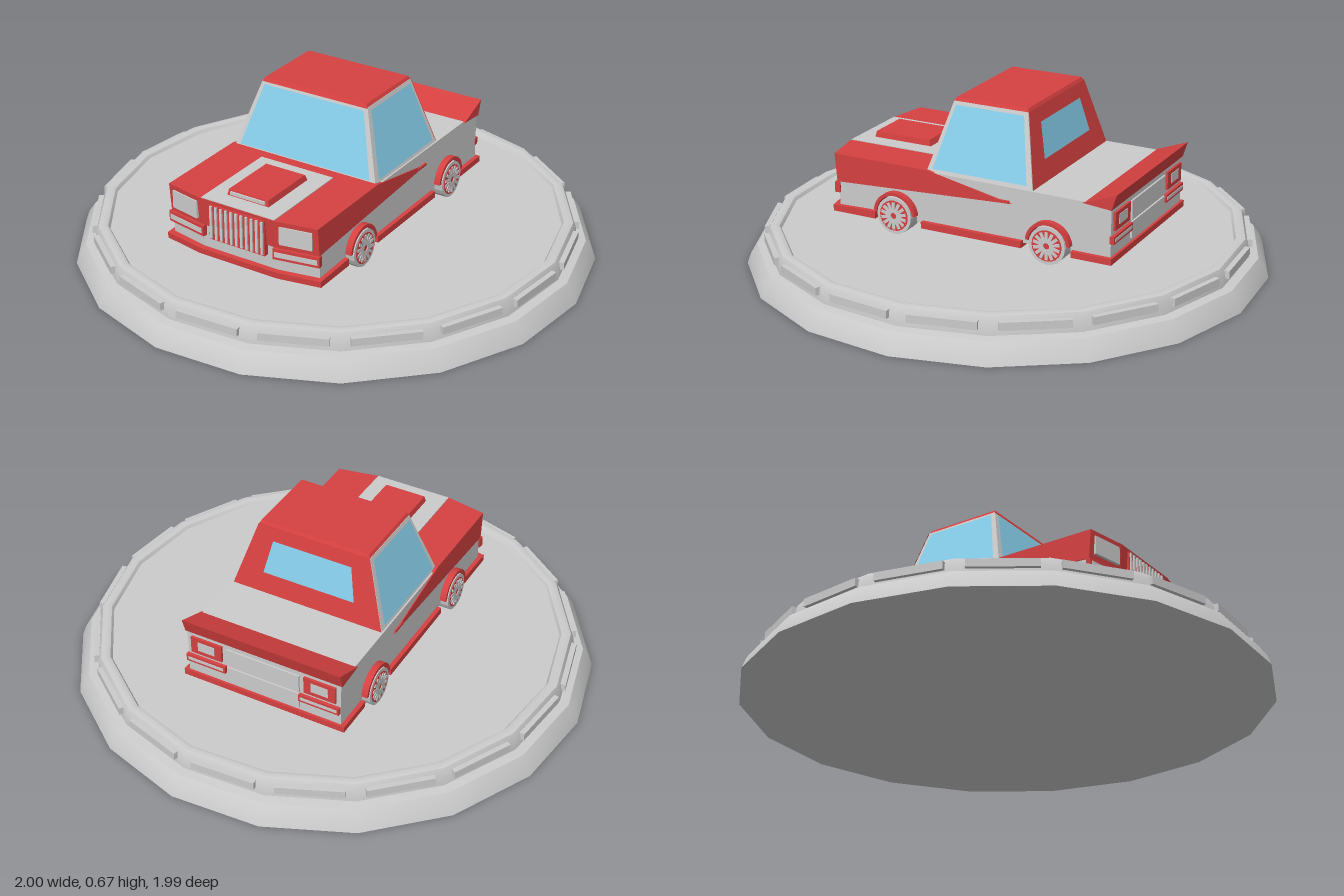
import * as THREE from 'three';
import { toCreasedNormals } from 'three/addons/utils/BufferGeometryUtils.js';

const paint = (color) => new THREE.MeshStandardMaterial({ color, flatShading: true, side: THREE.DoubleSide });
const grey = paint(0xcccccc), red = paint(0xd64040), glass = paint(0x87ceeb);

function add(parent, name, geometry, material) {
  const mesh = new THREE.Mesh(geometry, material);
  mesh.name = name;
  parent.add(mesh);
  return mesh;
}

// Box given by its limits on each axis
function block(parent, name, material, x0, x1, y0, y1, z0, z1) {
  const g = new THREE.BoxGeometry(x1 - x0, y1 - y0, z1 - z0);
  g.translate((x0 + x1) / 2, (y0 + y1) / 2, (z0 + z1) / 2);
  return add(parent, name, g, material);
}

// Tapered box between two rectangles, each [halfWidth, backZ, frontZ, y]
function taper(parent, name, material, bottom, top) {
  const g = new THREE.BoxGeometry(1, 1, 1), p = g.attributes.position;
  for (let i = 0; i < p.count; i++) {
    const [hx, z0, z1, y] = p.getY(i) > 0 ? top : bottom;
    p.setXYZ(i, Math.sign(p.getX(i)) * hx, y, p.getZ(i) > 0 ? z1 : z0);
  }
  g.computeVertexNormals();
  return add(parent, name, g, material);
}

// Side profile in (z, y) extruded across the car, with the front corners swept back
function across(shape, half) {
  const g = new THREE.ExtrudeGeometry(shape, { depth: half * 2, steps: 4, bevelEnabled: false, curveSegments: 10 });
  g.translate(0, 0, -half).rotateY(-Math.PI / 2);
  const p = g.attributes.position;
  for (let i = 0; i < p.count; i++) {
    if (p.getZ(i) > 0.55 && Math.abs(p.getX(i)) > half * 0.9) p.setZ(i, p.getZ(i) - 0.03);
  }
  g.computeVertexNormals();
  return g;
}
const outline = (pts) => new THREE.Shape(pts.map(([z, y]) => new THREE.Vector2(z, y)));

// Flat pane inset in a quad a, b, c, d (bottom pair, then top pair)
function pane(parent, name, material, corners, u, v0, v1, lift) {
  const [a, b, c, d] = corners.map((k) => new THREE.Vector3(...k));
  const at = (s, t) => a.clone().lerp(b, s).lerp(d.clone().lerp(c, s), t);
  const n = b.clone().sub(a).cross(d.clone().sub(a)).normalize().multiplyScalar(lift);
  const q = [at(u, v0), at(1 - u, v0), at(1 - u, v1), at(u, v1)].map((k) => k.add(n));
  const g = new THREE.BufferGeometry().setFromPoints(q);
  g.setIndex([0, 1, 2, 0, 2, 3]);
  g.computeVertexNormals();
  return add(parent, name, g, material);
}

function makeStand() {
  const stand = new THREE.Group();
  stand.name = 'displayStand';
  const start = THREE.MathUtils.degToRad(13.5), step = Math.PI / 9;
  const profile = [[0, 0], [1, 0], [0.985, 0.04], [0.96, 0.075], [0.925, 0.08], [0.92, 0.125], [0.908, 0.147],
    [0.89, 0.152], [0.873, 0.147], [0.865, 0.135], [0, 0.135]].map(([r, y]) => new THREE.Vector2(r, y));
  const base = new THREE.LatheGeometry(profile, 18, start);
  add(stand, 'roundBase', toCreasedNormals(base, 0.6), new THREE.MeshStandardMaterial({ color: 0xcccccc }));
  // One raised bar on each side of the rim
  for (let i = 0; i < 18; i++) {
    const a = start + (i + 0.5) * step;
    const bar = add(stand, 'rimBar', new THREE.BoxGeometry(0.25, 0.03, 0.02), grey);
    bar.position.set(Math.sin(a) * 0.913, 0.117, Math.cos(a) * 0.913);
    bar.rotation.y = a;
  }
  return stand;
}

const AXLES = [0.315, -0.325], AXLE_Y = 0.208;

function makeWheel(side, z) {
  const wheel = new THREE.Group();
  wheel.name = 'wheel';
  wheel.position.set(side * 0.31, AXLE_Y, z);
  add(wheel, 'tyre', new THREE.CylinderGeometry(0.073, 0.073, 0.07, 20).rotateZ(Math.PI / 2), grey);
  const disc = add(wheel, 'rimDisc', new THREE.CylinderGeometry(0.06, 0.06, 0.004, 20).rotateZ(Math.PI / 2), red);
  disc.position.x = side * 0.035;
  for (let i = 0; i < 14; i++) {
    const spoke = add(wheel, 'spoke', new THREE.BoxGeometry(0.004, 0.042, 0.012).translate(side * 0.038, 0.033, 0), grey);
    spoke.rotation.x = (i / 14) * Math.PI * 2;
  }
  return wheel;
}

function makeCabin() {
  const cabin = new THREE.Group();
  cabin.name = 'cabin';
  const B = [0.312, -0.25, 0.19, 0.395], T = [0.23, -0.19, 0.115, 0.658];
  taper(cabin, 'cabinShell', grey, B, T);
  taper(cabin, 'roof', red, [0.23, -0.193, 0.118, 0.655], [0.222, -0.185, 0.11, 0.67]);
  const pt = (r, s, end) => [s * r[0], r[3], r[end]];
  const front = [pt(B, -1, 2), pt(B, 1, 2), pt(T, 1, 2), pt(T, -1, 2)];
  const back = [pt(B, 1, 1), pt(B, -1, 1), pt(T, -1, 1), pt(T, 1, 1)];
  pane(cabin, 'windscreen', glass, front, 0.035, 0.05, 0.95, 0.004);
  pane(cabin, 'rearPanel', red, back, 0, 0, 1, 0.003);
  pane(cabin, 'rearWindow', glass, back, 0.17, 0.3, 0.8, 0.006);
  const left = [pt(B, 1, 2), pt(B, 1, 1), pt(T, 1, 1), pt(T, 1, 2)];
  const right = [pt(B, -1, 1), pt(B, -1, 2), pt(T, -1, 2), pt(T, -1, 1)];
  for (const quad of [left, right]) pane(cabin, 'sideWindow', glass, quad, 0.05, 0.05, 0.95, 0.004);
  return cabin;
}

function makeCar() {
  const car = new THREE.Group();
  car.name = 'car';
  car.position.x = -0.02;

  // Body with cut wheel arches
  const side = new THREE.Shape();
  side.moveTo(-0.565, 0.19);
  for (const z of [...AXLES].reverse()) {
    side.lineTo(z - 0.083, 0.19);
    side.absarc(z, AXLE_Y, 0.083, Math.PI, 0, true);
    side.lineTo(z + 0.083, 0.19);
  }
  [[0.6, 0.19], [0.602, 0.295], [0.61, 0.4], [-0.565, 0.392]].forEach(([z, y]) => side.lineTo(z, y));
  add(car, 'body', across(side, 0.318), grey);

  // Red nose, its side flash running back to a point
  const nose = outline([[-0.17, 0.333], [0.608, 0.293], [0.618, 0.404], [0.19, 0.404]]);
  add(car, 'noseAndSideFlash', across(nose, 0.322), red);

  // Bonnet stripe and scoop
  block(car, 'bonnetStripe', grey, -0.158, 0.158, 0.4, 0.407, 0.235, 0.615);
  taper(car, 'bonnetScoop', red, [0.09, 0.3, 0.55, 0.405], [0.085, 0.31, 0.545, 0.43]);
  block(car, 'scoopIntake', grey, -0.075, 0.075, 0.412, 0.424, 0.53, 0.553);

  // Grille with vertical bars
  block(car, 'grille', red, -0.12, 0.12, 0.252, 0.392, 0.59, 0.622);
  for (let i = 0; i < 11; i++) {
    const x = -0.11 + i * 0.022;
    block(car, 'grilleBar', grey, x - 0.005, x + 0.005, 0.258, 0.388, 0.6, 0.628);
  }

  // Lower lips, skirts and tail spoiler
  add(car, 'frontLip', across(outline([[0.405, 0.176], [0.62, 0.176], [0.622, 0.2], [0.405, 0.205]]), 0.335), red);
  block(car, 'sideSkirts', red, -0.335, 0.335, 0.174, 0.2, -0.215, 0.205);
  block(car, 'rearLip', red, -0.335, 0.335, 0.176, 0.2, -0.575, -0.415);
  add(car, 'spoiler', across(outline([[-0.455, 0.39], [-0.568, 0.38], [-0.587, 0.44]]), 0.325), red);

  // Tail plate
  block(car, 'tailPanel', grey, -0.15, 0.15, 0.285, 0.36, -0.572, -0.56);
  block(car, 'numberPlate', grey, -0.15, 0.15, 0.215, 0.278, -0.572, -0.56);

  for (const s of [-1, 1]) {
    // Headlight and bumper lamp follow the swept front corner
    const corner = new THREE.Group();
    corner.name = 'frontLamps';
    corner.position.set(s * 0.238, 0, 0.597);
    corner.rotation.y = s * 0.185;
    block(corner, 'headlight', grey, -0.063, 0.063, 0.315, 0.385, -0.01, 0.01);
    block(corner, 'bumperLamp', red, -0.09, 0.09, 0.25, 0.292, -0.015, 0.006);
    block(corner, 'lampInset', grey, -0.082, 0.082, 0.261, 0.28, -0.015, 0.009);
    car.add(corner);

    // Tail lights
    const tail = new THREE.Group();
    tail.name = 'tailLamps';
    tail.position.x = s * 0.235;
    block(tail, 'tailLight', red, -0.065, 0.065, 0.295, 0.365, -0.574, -0.56);
    block(tail, 'tailLightInset', grey, -0.035, 0.035, 0.312, 0.35, -0.576, -0.56);
    block(tail, 'rearBumperLamp', red, -0.08, 0.085, 0.25, 0.28, -0.578, -0.56);
    block(tail, 'rearLampInset', grey, -0.072, 0.077, 0.259, 0.271, -0.58, -0.56);
    car.add(tail);

    block(car, 'doorHandle', red, s * 0.32 - 0.005, s * 0.32 + 0.005, 0.333, 0.343, -0.16, -0.1);

    // Wheels under flared arches
    for (const z of AXLES) {
      car.add(makeWheel(s, z));
      const arch = new THREE.Shape();
      arch.absarc(0, 0, 0.09, 0.1, Math.PI - 0.1, false);
      arch.absarc(0, 0, 0.077, Math.PI - 0.1, 0.1, true);
      const g = new THREE.ExtrudeGeometry(arch, { depth: 0.05, bevelEnabled: false, curveSegments: 10 });
      g.translate(0, 0, -0.025).rotateY(-Math.PI / 2);
      add(car, 'wheelArch', g, red).position.set(s * 0.318, AXLE_Y, z);
    }
  }
  car.add(makeCabin());
  return car;
}

export function createModel() {
  const model = new THREE.Group();
  model.name = 'carOnStand';
  model.add(makeStand(), makeCar());
  return model;
}
